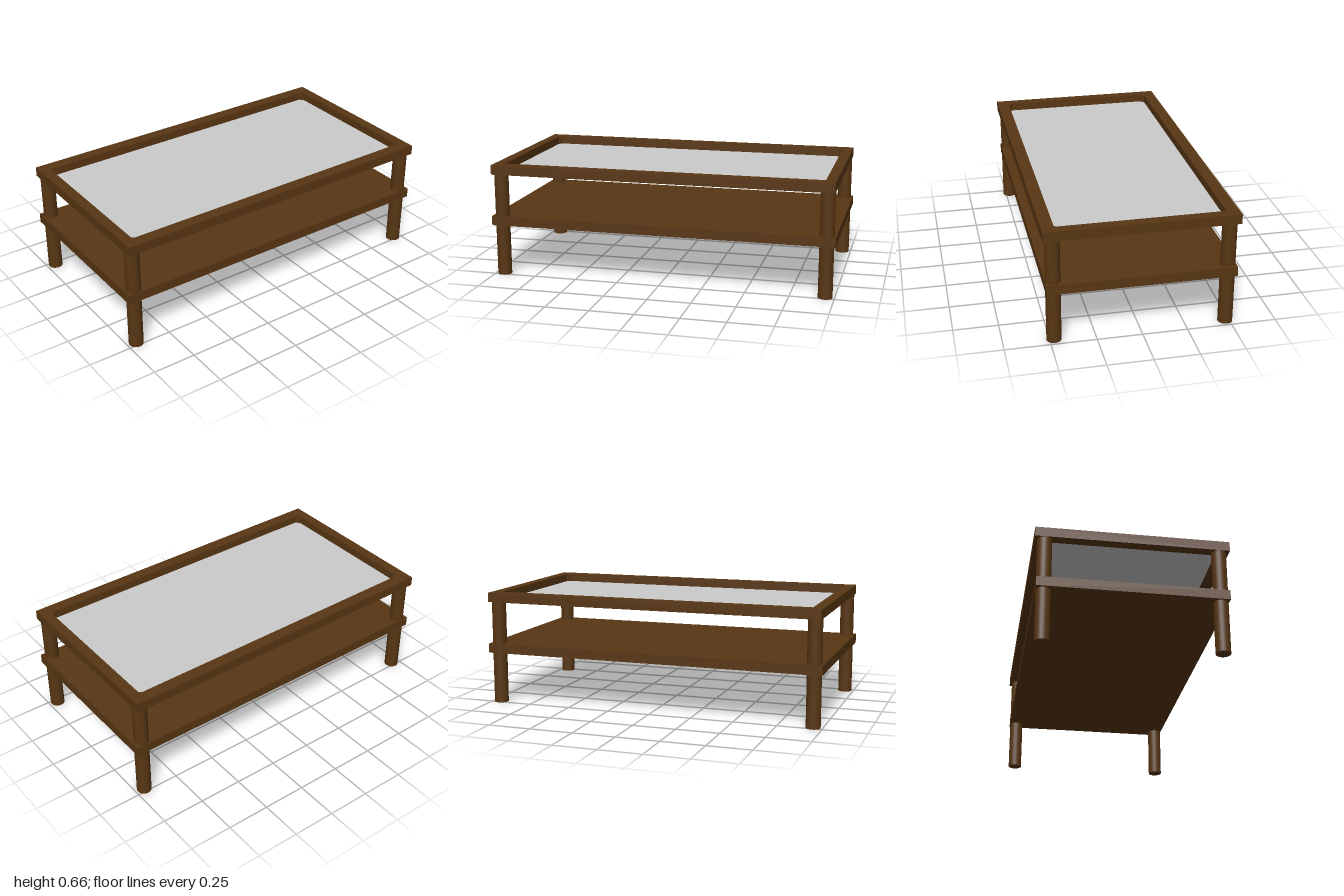
import * as THREE from 'three';

export function createModel() {
  const model = new THREE.Group();
  model.name = 'coffeeTable';
  const wood = new THREE.MeshStandardMaterial({ color: 0x583613 });
  const grey = new THREE.MeshStandardMaterial({ color: 0xcccccc });

  function add(name, geometry, material, x, y, z) {
    const mesh = new THREE.Mesh(geometry, material);
    mesh.name = name;
    mesh.position.set(x, y, z);
    model.add(mesh);
    return mesh;
  }

  // Rectangular top frame with an open centre
  const rect = (path, w, d) =>
    path.moveTo(-w, -d).lineTo(w, -d).lineTo(w, d).lineTo(-w, d).closePath();
  const outline = rect(new THREE.Shape(), 0.99, 0.53);
  outline.holes.push(rect(new THREE.Path(), 0.93, 0.46));
  const frame = new THREE.ExtrudeGeometry(outline, { depth: 0.055, bevelEnabled: false });
  frame.rotateX(-Math.PI / 2);
  add('topFrame', frame, wood, 0, 0.605, 0);

  // Thin pane set low inside the frame
  add('tabletopPane', new THREE.BoxGeometry(1.87, 0.006, 0.93), grey, 0, 0.61, 0);

  // Lower shelf
  add('shelf', new THREE.BoxGeometry(2, 0.055, 1.036), wood, 0, 0.3275, 0);

  // Round legs running up into the frame corners
  const leg = new THREE.CylinderGeometry(0.041, 0.041, 0.655, 24);
  for (const [xName, sx] of [['Left', 1], ['Right', -1]]) {
    for (const [zName, sz] of [['front', 1], ['back', -1]]) {
      add(`${zName}${xName}Leg`, leg, wood, sx * 0.948, 0.3275, sz * 0.476);
    }
  }
  return model;
}
